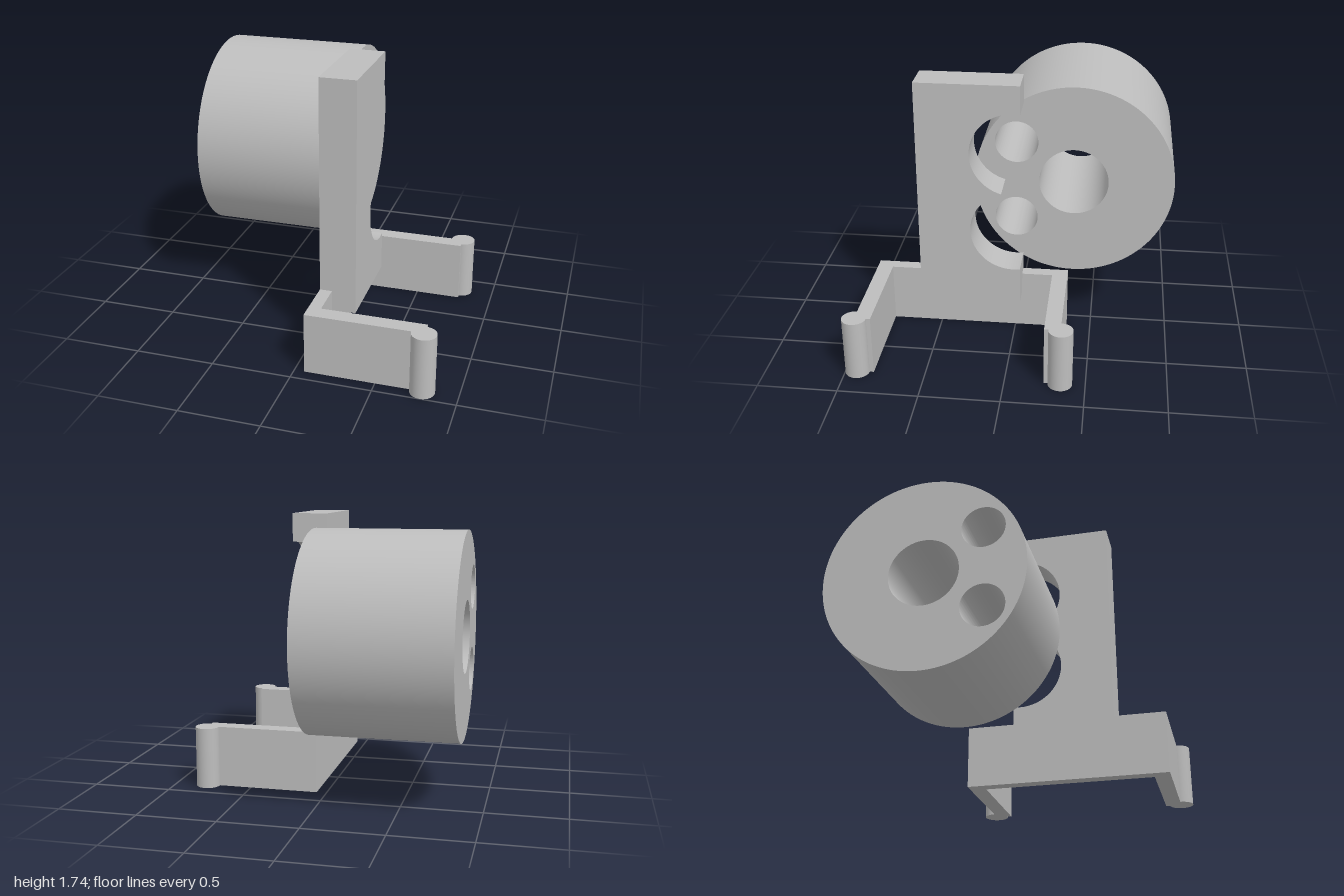
import * as THREE from 'three';
import { toCreasedNormals } from 'three/addons/utils/BufferGeometryUtils.js';

export function createModel() {
  const group = new THREE.Group();
  const grey = new THREE.MeshStandardMaterial({ color: 0xbdbdbd });
  grey.name = 'grey';

  const add = (name, geometry) => {
    const mesh = new THREE.Mesh(geometry, grey);
    mesh.name = name;
    group.add(mesh);
    return mesh;
  };
  const extrude = (shape, depth) =>
    toCreasedNormals(new THREE.ExtrudeGeometry(shape, { depth, bevelEnabled: false, curveSegments: 64 }), 0.5);
  // Shapes drawn as (-z, y) and extruded along x
  const extrudeX = (shape, x0, x1) => extrude(shape, x1 - x0).rotateY(Math.PI / 2).translate(x0, 0, 0);

  const midY = 1.035, offset = 0.26;
  const face = 0.063; // plane shared by drum, plate and clip

  // Drum with a central bore and two smaller bores
  const disc = new THREE.Shape().absarc(0.367, midY, 0.633, 0, Math.PI * 2, false);
  for (const [s, y, r] of [[0.365, midY, 0.22], [0, midY + offset, 0.137], [0, midY - offset, 0.137]]) {
    disc.holes.push(new THREE.Path().absarc(s, y, r, 0, Math.PI * 2, true));
  }
  add('drum', extrudeX(disc, -0.863, face));

  // Upright plate with two round notches meeting at a cusp
  const r = 0.27, edge = 0.045;
  const open = Math.acos(edge / r);
  const cusp = Math.PI - Math.asin(offset / r);
  const plate = new THREE.Shape();
  plate.moveTo(-0.6, 0.26);
  plate.lineTo(edge, 0.26);
  plate.absarc(0, midY - offset, r, -open, cusp, true);
  plate.absarc(0, midY + offset, r, -cusp, open, true);
  plate.lineTo(edge, 1.743);
  plate.lineTo(-0.6, 1.743);
  plate.closePath();
  add('uprightPlate', extrudeX(plate, face, 0.29));

  // U-shaped clip, drawn as (x, -z) and extruded upwards
  const height = 0.39, tipX = 0.785;
  const clip = new THREE.Shape([
    [face, -0.922], [tipX, -0.922], [tipX, -0.822], [0.14, -0.822],
    [0.14, 0.242], [tipX, 0.242], [tipX, 0.342], [face, 0.342],
  ].map(([x, s]) => new THREE.Vector2(x, s)));
  add('clip', extrude(clip, height).rotateX(-Math.PI / 2));

  // Round beads at the ends of the clip arms
  for (const [name, z] of [['frontBead', 0.924], ['backBead', -0.344]]) {
    add(name, new THREE.CylinderGeometry(0.076, 0.076, height, 48)).position.set(tipX, height / 2, z);
  }
  return group;
}
